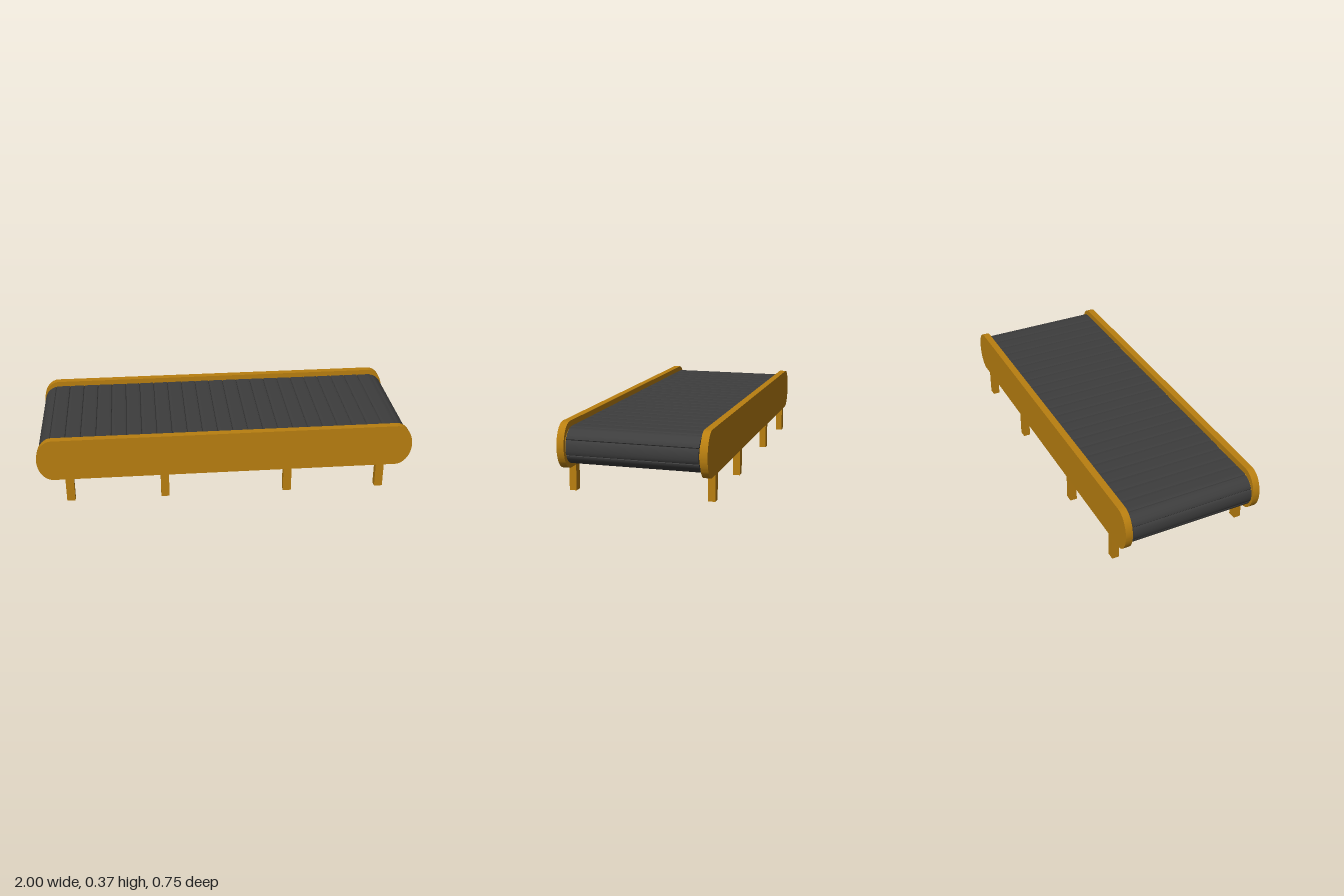
import * as THREE from 'three';
import { toCreasedNormals } from 'three/addons/utils/BufferGeometryUtils.js';

const MID_Y = 0.249;

// Long outline with elliptical ends, starting at the top centre and running clockwise
function outline(halfLength, halfHeight, endRadius) {
  const s = new THREE.Shape();
  const x = halfLength - endRadius;
  s.moveTo(0, halfHeight);
  s.lineTo(x, halfHeight);
  s.absellipse(x, 0, endRadius, halfHeight, Math.PI / 2, -Math.PI / 2, true);
  s.lineTo(-x, -halfHeight);
  s.absellipse(-x, 0, endRadius, halfHeight, -Math.PI / 2, Math.PI / 2, true);
  s.lineTo(0, halfHeight);
  return s;
}

// Extrude along z, centred on the given z
function slab(name, shape, depth, z, material) {
  const geo = new THREE.ExtrudeGeometry(shape, { depth, bevelEnabled: false, curveSegments: 20 });
  geo.translate(0, MID_Y, z - depth / 2);
  const mesh = new THREE.Mesh(toCreasedNormals(geo, 0.45), material);
  mesh.name = name;
  return mesh;
}

// Belt outline cut by a narrow groove between neighbouring slats
function beltShape(slats) {
  const path = outline(0.996, 0.0915, 0.085);
  const pts = [];
  const add = (u, inset) => {
    const w = (u + 1) % 1;
    const p = path.getPoint(w);
    const t = path.getTangent(w);
    pts.push(new THREE.Vector2(p.x + t.y * inset, p.y - t.x * inset));
  };
  for (let i = 0; i < slats; i++) {
    const at = (f) => (i + f) / slats;
    add(at(-0.5), 0.006);
    add(at(-0.465), 0.0012);
    for (const f of [-0.42, -0.21, 0, 0.21, 0.42]) add(at(f), 0);
    add(at(0.465), 0.0012);
  }
  return new THREE.Shape(pts);
}

export function createModel() {
  const group = new THREE.Group();
  group.name = 'conveyor';
  const frame = new THREE.MeshStandardMaterial({ color: 0xb97f10 });
  const rubber = new THREE.MeshStandardMaterial({ color: 0x3d3d3d });

  // Slatted belt
  group.add(slab('belt', beltShape(52), 0.66, 0, rubber));

  for (const side of [1, -1]) {
    // Side panel and the thin inner plate beside the belt
    group.add(slab('sidePanel', outline(1, 0.116, 0.085), 0.037, side * 0.3555, frame));
    group.add(slab('innerPlate', outline(0.985, 0.083, 0.078), 0.009, side * 0.3335, frame));

    // Legs
    for (const x of [-0.835, -0.332, 0.328, 0.833]) {
      const leg = new THREE.Mesh(new THREE.BoxGeometry(0.044, 0.14, 0.037), frame);
      leg.position.set(x, 0.07, side * 0.3555);
      leg.name = 'leg';
      group.add(leg);
    }
  }
  return group;
}
